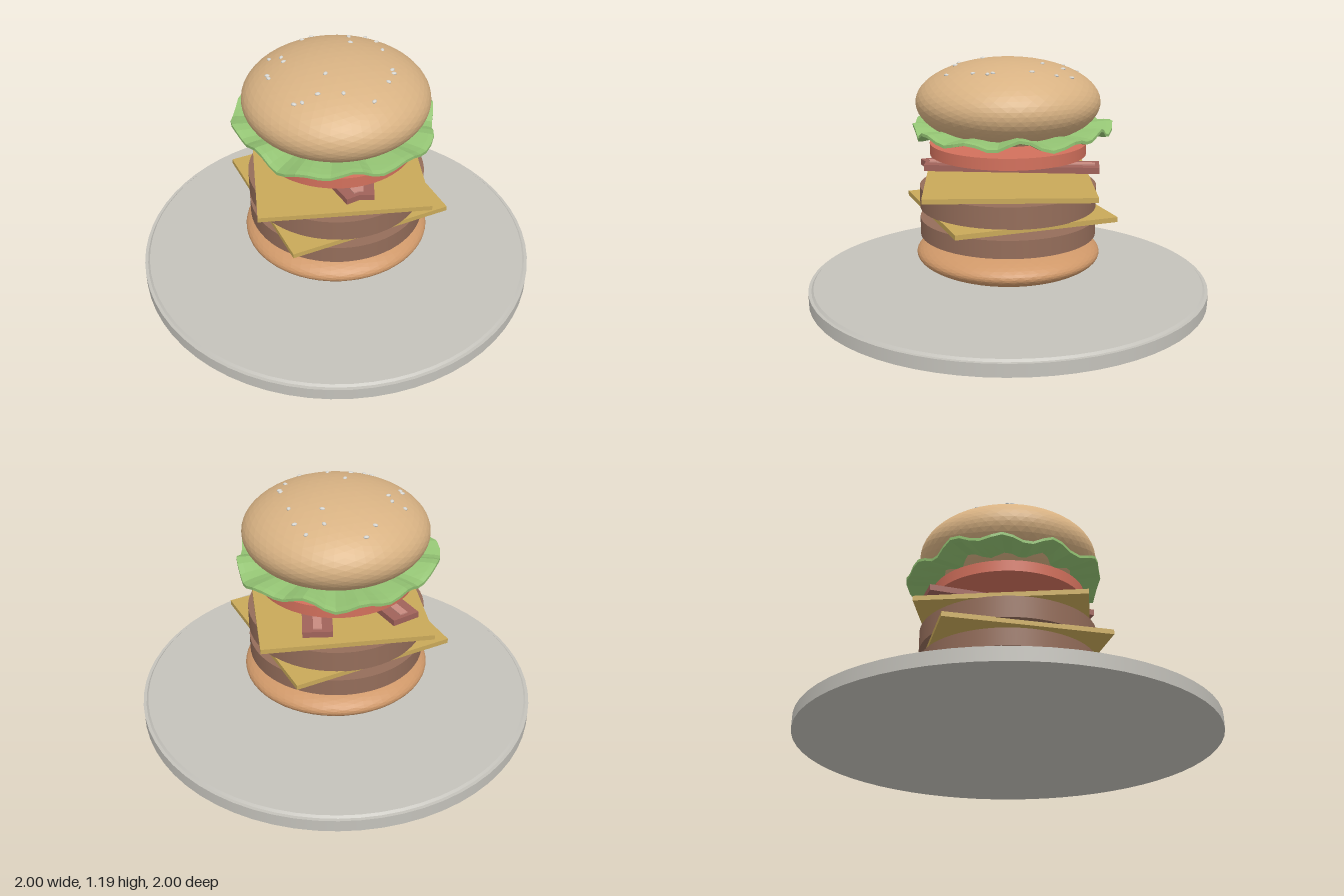
import * as THREE from 'three';

const mat = (name, color, extra = {}) =>
  Object.assign(new THREE.MeshStandardMaterial({ color, ...extra }), { name });

export function createModel() {
  const group = new THREE.Group();
  const M = {
    plate: mat('plateGrey', 0xc4c2bb),
    bottomBun: mat('toastedBun', 0xcf9869, { flatShading: true }),
    topBun: mat('goldenBun', 0xd8b283, { flatShading: true }),
    patty: mat('meatBrown', 0x946d5a),
    cheese: mat('cheeseYellow', 0xc9a959),
    bacon: mat('baconRed', 0xa0635a),
    fat: mat('baconFat', 0xc98b80),
    tomato: mat('tomatoRed', 0xd2705c),
    lettuce: mat('lettuceGreen', 0x93c373, { flatShading: true, side: THREE.DoubleSide }),
    seed: mat('seedWhite', 0xd6d5d0),
  };
  const add = (name, geometry, material, y = 0, parent = group) => {
    const mesh = new THREE.Mesh(geometry, material);
    mesh.name = name;
    mesh.position.y = y;
    parent.add(mesh);
    return mesh;
  };
  // Round slice between two heights
  const slice = (name, r, y0, y1, material) =>
    add(name, new THREE.CylinderGeometry(r, r, y1 - y0, 64), material, (y0 + y1) / 2);

  // Plate with a small step inside its rim
  slice('plateBase', 1, 0, 0.062, M.plate);
  add('plateTop', new THREE.CylinderGeometry(0.975, 0.985, 0.01, 64), M.plate, 0.067);

  // Buns are squashed spheres
  const bun = (name, rx, ry, rz, y, material) =>
    add(name, new THREE.IcosahedronGeometry(1, 9).scale(rx, ry, rz), material, y);
  bun('bottomBun', 0.465, 0.109, 0.457, 0.22, M.bottomBun);
  bun('topBun', 0.449, 0.209, 0.449, 0.977, M.topBun);

  // Patties and cheese slices
  slice('lowerPatty', 0.437, 0.315, 0.403, M.patty);
  slice('upperPatty', 0.437, 0.455, 0.562, M.patty);
  const cheese = new THREE.BoxGeometry(0.815, 0.024, 0.81);
  add('lowerCheese', cheese, M.cheese, 0.445).rotation.y = 0.17;
  add('upperCheese', cheese, M.cheese, 0.583).rotation.y = -0.16;

  // Two bacon strips in a V, each with a raised stripe of fat
  for (const side of [-1, 1]) {
    const strip = new THREE.Group();
    strip.name = side > 0 ? 'leftBacon' : 'rightBacon';
    strip.position.set(side * 0.106, 0.674, 0);
    strip.rotation.y = Math.PI - side * 0.26;
    strip.rotation.y = side * -0.26 + Math.PI;
    strip.rotation.y = side * -0.26;
    strip.rotation.y *= -1;
    // The back ends spread apart, so each strip leans outward toward -z
    strip.rotation.y = -side * 0.26;
    add('baconMeat', new THREE.BoxGeometry(0.14, 0.03, 0.84), M.bacon, 0, strip);
    add('baconFat', new THREE.BoxGeometry(0.04, 0.036, 0.8), M.fat, 0.003, strip);
    group.add(strip);
  }

  slice('tomato', 0.384, 0.72, 0.776, M.tomato);

  // Lettuce: a ruffled sheet of two skins joined at the wavy rim
  const segs = 60;
  const rings = [[0.2, 0.006], [0.34, 0.008], [0.42, 0.01], [0.46, 0.01], [0.485, 0.007],
    [0.485, -0.007], [0.46, -0.01], [0.42, -0.01], [0.34, -0.008], [0.2, -0.006]];
  const pos = [], index = [];
  rings.forEach(([r, dy]) => {
    for (let i = 0; i < segs; i++) {
      const a = (i / segs) * Math.PI * 2;
      const edge = (r / 0.485) ** 2;
      const rr = r + edge * (0.017 * Math.cos(5 * (a + Math.PI / 2)) + 0.006 * Math.sin(12 * a));
      const wave = 0.019 * Math.sin(12 * a + 0.6) + 0.01 * Math.sin(7 * a + 1);
      pos.push(rr * Math.cos(a), 0.845 + dy + edge * wave, rr * Math.sin(a) - 0.012 * edge);
    }
  });
  for (let k = 0; k < rings.length; k++) {
    const n = (k + 1) % rings.length;
    for (let i = 0; i < segs; i++) {
      const j = (i + 1) % segs;
      const a = k * segs + i, b = k * segs + j, c = n * segs + i, d = n * segs + j;
      index.push(a, b, c, b, d, c);
    }
  }
  const leaf = new THREE.BufferGeometry();
  leaf.setAttribute('position', new THREE.Float32BufferAttribute(pos, 3));
  // Reverse the corners so that the skins face outward
  for (let i = 0; i < index.length; i += 3) [index[i + 1], index[i + 2]] = [index[i + 2], index[i + 1]];
  leaf.setIndex(index);
  leaf.computeVertexNormals();
  add('lettuce', leaf, M.lettuce);

  // Seeds set on the top bun
  const seeds = [[-0.03, -0.35], [-0.09, -0.295], [0.13, -0.24], [0.22, -0.26], [0.25, -0.18],
    [0.11, -0.145], [-0.28, -0.17], [-0.23, -0.13], [-0.23, -0.08], [-0.32, -0.025], [-0.32, 0],
    [0.245, -0.065], [0.235, 0.115], [0.235, 0.14], [0.19, 0.2], [-0.035, 0.25], [0.09, 0.31],
    [-0.145, 0.22], [-0.255, 0.225], [-0.22, 0.235], [-0.08, 0.11]];
  const seedShape = new THREE.SphereGeometry(1, 8, 6).scale(0.014, 0.007, 0.01);
  seeds.forEach(([x, z], i) => {
    const h = Math.sqrt(1 - (x * x + z * z) / 0.449 ** 2);
    const seed = add('seed', seedShape, M.seed, 0.977 + 0.209 * h);
    seed.position.x = x;
    seed.position.z = z;
    seed.rotation.y = i * 2.4;
  });

  return group;
}
